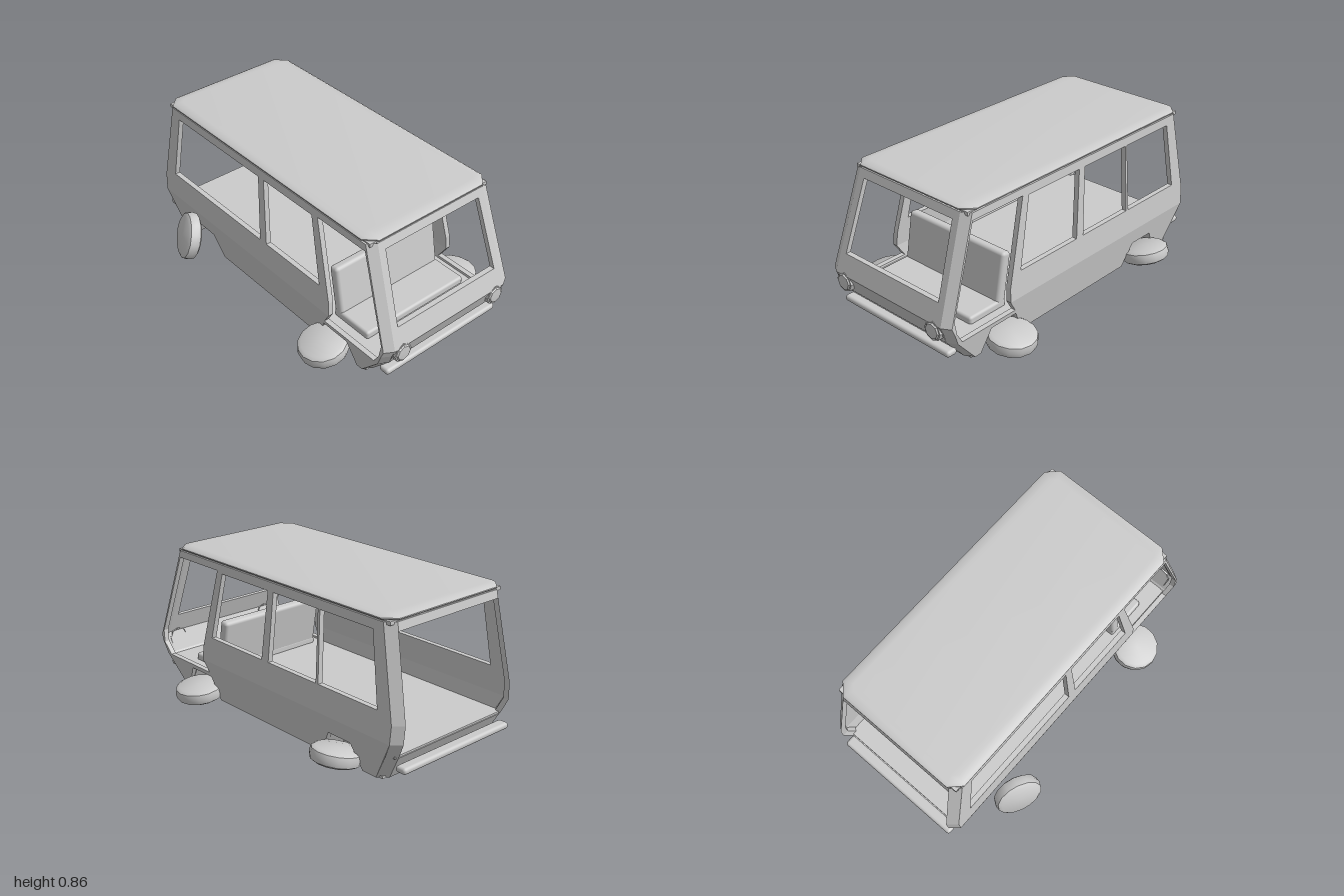
import * as THREE from 'three';
import { RoundedBoxGeometry } from 'three/addons/geometries/RoundedBoxGeometry.js';
import { toCreasedNormals } from 'three/addons/utils/BufferGeometryUtils.js';

const mat = new THREE.MeshStandardMaterial({ color: 0xcccccc, side: THREE.DoubleSide });

// Profiles as [y, value] pairs: half width, front end and rear end
const WIDTH = [[0.02, 0.41], [0.25, 0.445], [0.84, 0.41]];
const FRONT = [[0.02, 0.80], [0.18, 0.94], [0.29, 0.985], [0.84, 0.80]];
const REAR = [[0.02, -0.87], [0.24, -0.99], [0.35, -0.995], [0.84, -0.90]];
const MID_Z = -0.015;
const WALL = 0.03;

function at(profile, y) {
  let i = 1;
  while (i < profile.length - 1 && y > profile[i][0]) i++;
  const [y0, a] = profile[i - 1], [y1, b] = profile[i];
  return a + (b - a) * (y - y0) / (y1 - y0);
}

function add(parent, name, geometry, x = 0, y = 0, z = 0) {
  const mesh = new THREE.Mesh(geometry, mat);
  mesh.name = name;
  mesh.position.set(x, y, z);
  parent.add(mesh);
  return mesh;
}

const points = (list) => list.map(([a, b]) => new THREE.Vector2(a, b));

// Thin panel cut from an outline, its vertices placed by a rule
function panel(outline, holes, place, depth = WALL) {
  const shape = new THREE.Shape(points(outline));
  for (const h of holes) shape.holes.push(new THREE.Path(points(h)));
  const geo = new THREE.ExtrudeGeometry(shape, { depth, bevelEnabled: false });
  const p = geo.attributes.position;
  for (let i = 0; i < p.count; i++) p.setXYZ(i, ...place(p.getX(i), p.getY(i), p.getZ(i)));
  geo.computeVertexNormals();
  return geo;
}

// Corner post: a four-sided section following an end profile
function cornerPost(profile, end, inset, side) {
  const ys = [0.02, 0.18, 0.25, 0.29, 0.35, 0.84];
  const rings = ys.map((y) => {
    const x = at(profile, y), w = at(WIDTH, y);
    return [[x - end * inset, w], [x, w - 0.05], [x - end * 0.035, w - 0.05], [x - end * inset, w - WALL]]
      .map(([px, pz]) => [px, y, pz * side]);
  });
  const v = [];
  for (let i = 0; i < rings.length - 1; i++) {
    for (let j = 0; j < 4; j++) {
      const k = (j + 1) % 4;
      const [a, b, c, d] = [rings[i][j], rings[i][k], rings[i + 1][k], rings[i + 1][j]];
      const quad = end * side > 0 ? [a, b, c, a, c, d] : [a, c, b, a, d, c];
      // mirrored corners keep their faces outward
      v.push(...quad.flat());
    }
  }
  const geo = new THREE.BufferGeometry();
  geo.setAttribute('position', new THREE.Float32BufferAttribute(v, 3));
  geo.computeVertexNormals();
  return geo;
}

// Tyre-like disc with rounded shoulders
function wheelGeometry() {
  const r = 0.14, t = 0.04;
  const profile = points([[0, -t], [r - 0.025, -t], [r - 0.006, -t + 0.012], [r, 0],
    [r - 0.006, t - 0.012], [r - 0.025, t], [0, t]]);
  return toCreasedNormals(new THREE.LatheGeometry(profile, 14), 0.65);
}

export function createModel() {
  const model = new THREE.Group();
  model.name = 'van';
  const body = new THREE.Group();
  body.name = 'body';
  body.position.z = MID_Z;
  model.add(body);

  // Side walls, with wheel arches, windows and the open front doorway
  const lower = [[-0.825, 0.02], [-0.73, 0.02], [-0.66, 0.155], [-0.5, 0.155], [-0.43, 0.02],
    [0.43, 0.02], [0.49, 0.155], [0.67, 0.155], [0.73, 0.02], [0.77, 0.02], [0.91, 0.18],
    [0.939, 0.25], [0.925, 0.25], [0.88, 0.18], [0.5, 0.18], [0.545, 0.25], [-0.945, 0.25]];
  const upper = [[-0.945, 0.25], [0.545, 0.25], [0.54, 0.33], [0.42, 0.8], [0.77, 0.8],
    [0.935, 0.32], [0.925, 0.25], [0.939, 0.25], [0.955, 0.29], [0.77, 0.84], [-0.855, 0.84], [-0.95, 0.35]];
  const rearWindow = [[-0.85, 0.4], [-0.79, 0.79], [-0.06, 0.79], [-0.035, 0.4]];
  const midWindow = [[0.02, 0.4], [-0.015, 0.79], [0.375, 0.79], [0.46, 0.4]];
  for (const side of [1, -1]) {
    const place = (x, y, d) => [x, y, side * (at(WIDTH, y) - d)];
    const label = side > 0 ? 'front' : 'back';
    add(body, label + 'LowerSide', panel(lower, [], place));
    add(body, label + 'UpperSide', panel(upper, [rearWindow, midWindow], place));
    add(body, label + 'NosePost', cornerPost(FRONT, 1, 0.03, side));
    add(body, label + 'TailPost', cornerPost(REAR, -1, 0.045, side));
    if (side < 0) {
      add(body, 'windowBar', panel([[-0.43, 0.4], [-0.412, 0.4], [-0.405, 0.79], [-0.42, 0.79]], [], place));
    }
  }

  // End panels: windscreen frame, nose, apron and rear sill
  function endPanel(name, profile, end, y0, y1, holes = []) {
    const w0 = at(WIDTH, y0) - 0.05, w1 = at(WIDTH, y1) - 0.05;
    const outline = [[-w0, y0], [w0, y0], [w1, y1], [-w1, y1]];
    add(body, name, panel(outline, holes, (u, y, d) => [at(profile, y) - end * d, y, u]));
  }
  endPanel('windscreenFrame', FRONT, 1, 0.29, 0.84, [[[-0.345, 0.4], [0.345, 0.4], [0.32, 0.795], [-0.32, 0.795]]]);
  endPanel('nosePanel', FRONT, 1, 0.18, 0.29);
  endPanel('noseApron', FRONT, 1, 0.02, 0.18);
  endPanel('rearSill', REAR, -1, 0.02, 0.16);
  endPanel('rearHeader', REAR, -1, 0.795, 0.84);

  // Roof with softened edges
  const rw = 0.80, rd = 0.36, c = 0.03;
  const roofShape = new THREE.Shape(points([[-rw, -rd + c], [-rw + c, -rd], [rw - c, -rd], [rw, -rd + c],
    [rw, rd - c], [rw - c, rd], [-rw + c, rd], [-rw, rd - c]]));
  const roof = new THREE.ExtrudeGeometry(roofShape, {
    depth: 0.006, bevelThickness: 0.014, bevelSize: 0.055, bevelSegments: 2, curveSegments: 4,
  });
  roof.rotateX(-Math.PI / 2);
  add(body, 'roof', toCreasedNormals(roof, 0.6), -0.05, 0.851, 0);
  add(body, 'roofEdge', new THREE.BoxGeometry(1.68, 0.02, 0.80), -0.05, 0.837, 0);

  // Underside with notches for the wheels, and inner floor
  const floorHalf = 0.4, well = 0.26;
  const underside = [[-0.86, -floorHalf], [-0.73, -floorHalf], [-0.73, -well], [-0.43, -well], [-0.43, -floorHalf],
    [0.43, -floorHalf], [0.43, -well], [0.73, -well], [0.73, -floorHalf], [0.79, -floorHalf]];
  const mirrored = underside.map(([x, z]) => [x, -z]).reverse();
  add(body, 'underside', panel([...underside, ...mirrored], [], (x, z, d) => [x, 0.02 + d, z], 0.015));
  add(body, 'floor', new THREE.BoxGeometry(1.84, 0.012, 0.8), -0.02, 0.164, 0);

  // Wheel wells
  for (const x of [-0.58, 0.58]) {
    for (const side of [1, -1]) {
      const arch = [[-0.15, 0.02], [-0.085, 0.155], [0.085, 0.155], [0.15, 0.02],
        [0.162, 0.02], [0.092, 0.165], [-0.092, 0.165], [-0.162, 0.02]];
      add(body, 'wheelWell', panel(arch, [], (u, y, d) => [x + u, y, side * (0.26 + d)], 0.14));
      const back = [[-0.15, 0.02], [0.15, 0.02], [0.085, 0.155], [-0.085, 0.155]];
      add(body, 'wheelWellBack', panel(back, [], (u, y, d) => [x + u, y, side * (0.25 + d)], 0.01));
    }
  }

  // Bench seat
  add(body, 'seatCushion', new RoundedBoxGeometry(0.26, 0.05, 0.7, 2, 0.015), 0.61, 0.185, 0);
  const seatBack = add(body, 'seatBack', new RoundedBoxGeometry(0.06, 0.3, 0.7, 2, 0.02), 0.49, 0.325, 0);
  seatBack.rotation.z = 0.17;

  // Headlights
  for (const side of [1, -1]) {
    const lamp = new THREE.LatheGeometry(points([[0, 0.025], [0.042, 0.02], [0.048, 0.012], [0.056, 0.012], [0.056, -0.03]]), 8);
    lamp.rotateZ(-Math.PI / 2);
    add(body, 'headlight', toCreasedNormals(lamp, 0.5), 0.972, 0.25, side * 0.333);
  }

  // Bumpers
  for (const x of [0.91, -0.97]) {
    add(body, x > 0 ? 'frontBumper' : 'rearBumper', new RoundedBoxGeometry(0.066, 0.036, 0.79, 3, 0.016), x, 0.107, 0);
  }

  // Wheels, each swung outward: position and axle direction
  const wheels = [
    ['frontNearWheel', [0.545, 0.072, 0.465], [0, 0.97, 0.22]],
    ['rearNearWheel', [-0.588, 0.15, 0.527], [-0.36, 0.3, 0.88]],
    ['frontFarWheel', [0.56, 0.062, -0.48], [0, 0.99, -0.12]],
    ['rearFarWheel', [-0.588, 0.073, -0.472], [0, 0.97, 0.22]],
  ];
  const up = new THREE.Vector3(0, 1, 0);
  for (const [name, pos, axle] of wheels) {
    const wheel = add(model, name, wheelGeometry(), ...pos);
    wheel.quaternion.setFromUnitVectors(up, new THREE.Vector3(...axle).normalize());
  }
  return model;
}
